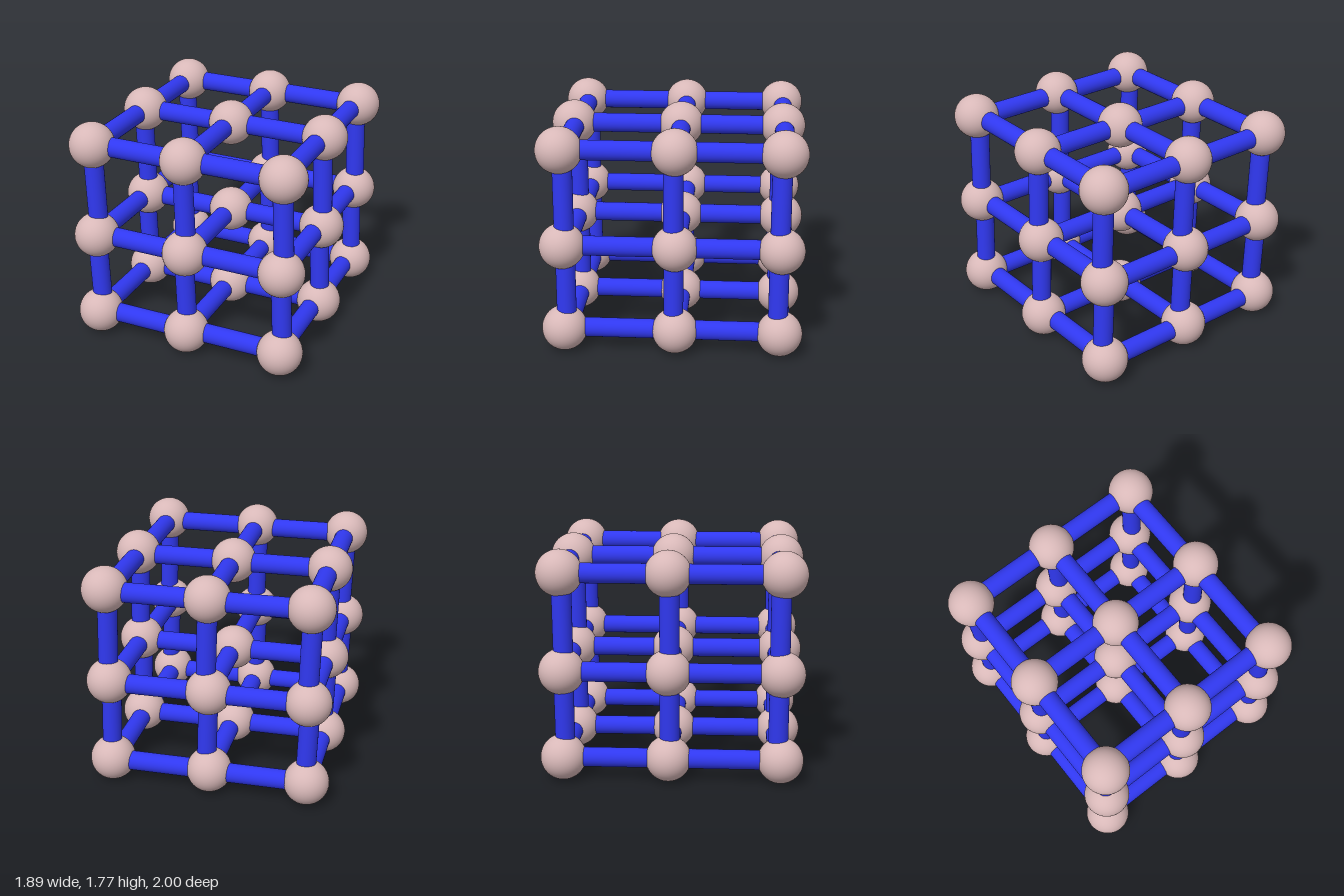
import * as THREE from 'three';

const X = [-0.77, -0.01, 0.77];
const Y = [0.18, 0.855, 1.605];
const Z = [-0.825, -0.025, 0.825];

// slightly shifted rod axes
const ROD_X_Z = [-0.835, -0.03, 0.805];   // z of the rods along x
const ROD_Z_X = [-0.77, -0.01, 0.753];    // x of the rods along z
const ROD_Y_Z = [-0.81, -0.015, 0.805];   // z of the uprights

export function createModel() {
  const group = new THREE.Group();
  const ballMaterial = new THREE.MeshStandardMaterial({ color: 0xd8b8b8 });
  const rodMaterial = new THREE.MeshStandardMaterial({ color: 0x3038f0 });
  const ballGeometry = new THREE.SphereGeometry(0.175, 40, 28);
  const rodGeometry = new THREE.CylinderGeometry(0.075, 0.075, 1, 32);
  const up = new THREE.Vector3(0, 1, 0);

  function addRod(name, a, b) {
    const from = new THREE.Vector3(...a);
    const dir = new THREE.Vector3(...b).sub(from);
    const rod = new THREE.Mesh(rodGeometry, rodMaterial);
    rod.name = name;
    rod.scale.y = dir.length();
    rod.position.copy(from).addScaledVector(dir, 0.5);
    rod.quaternion.setFromUnitVectors(up, dir.normalize());
    group.add(rod);
  }

  for (let i = 0; i < 3; i++) {
    for (let j = 0; j < 3; j++) {
      for (let k = 0; k < 3; k++) {
        // lattice node
        const ball = new THREE.Mesh(ballGeometry, ballMaterial);
        ball.name = 'ball';
        ball.position.set(X[i], Y[j], Z[k]);
        group.add(ball);

        // rods across the width
        if (i < 2) {
          addRod('crossRod', [X[i], Y[j], ROD_X_Z[k]], [X[i + 1], Y[j] - 0.007, ROD_X_Z[k]]);
        }
        // rods along the depth
        if (k < 2) {
          addRod('depthRod', [ROD_Z_X[i], Y[j], Z[k]], [ROD_Z_X[i], Y[j], Z[k + 1]]);
        }
        // slightly leaning uprights around the open core
        if (j < 2 && !(i === 1 && k === 1)) {
          const x = i === 1 ? (k === 0 ? 0.005 : -0.02) : X[i];
          addRod('upright', [x + 0.012, Y[j], ROD_Y_Z[k]], [x - 0.012, Y[j + 1], ROD_Y_Z[k]]);
        }
      }
    }
  }
  return group;
}
